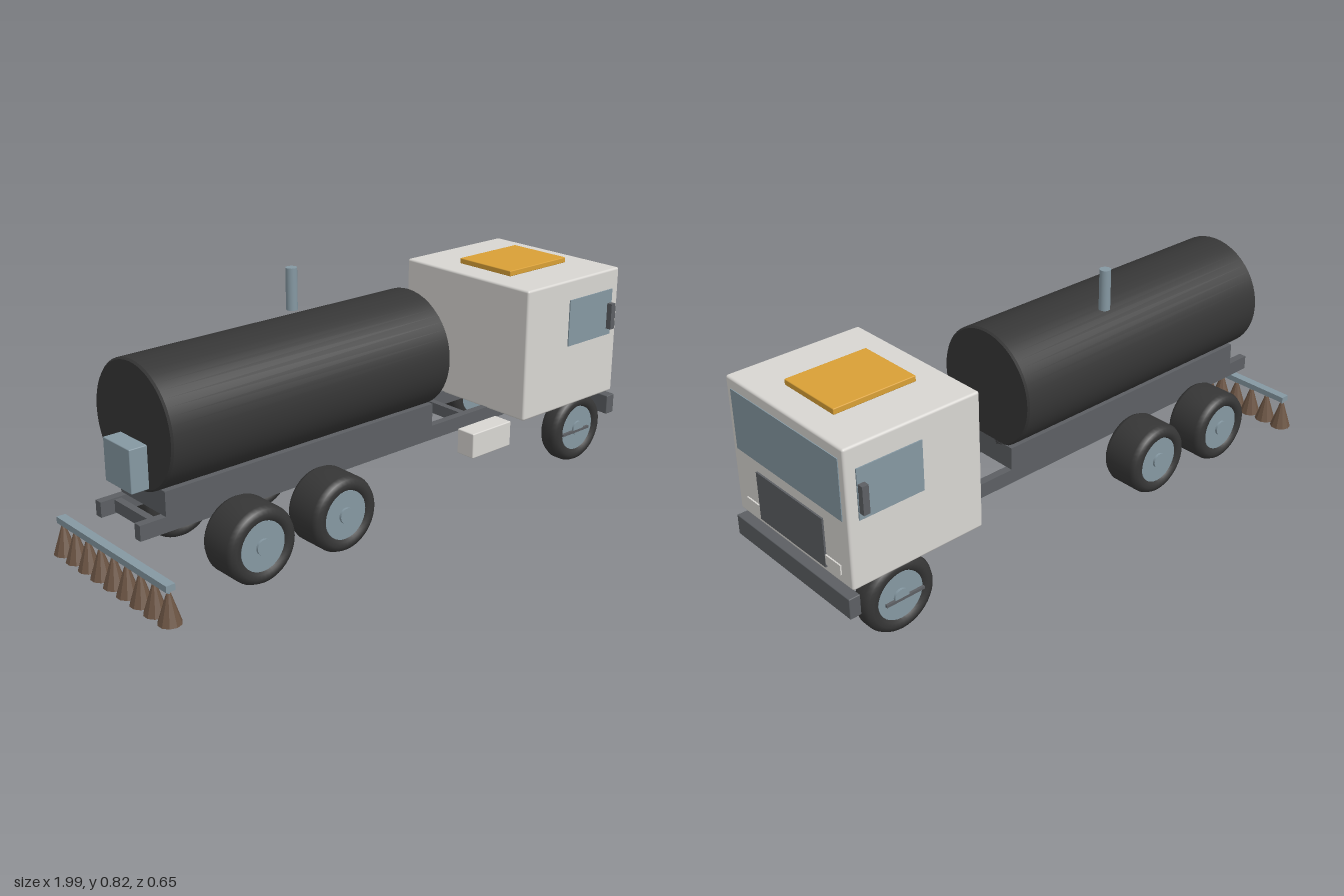
import * as THREE from 'three';
import { RoundedBoxGeometry } from 'three/addons/geometries/RoundedBoxGeometry.js';

const mat = (name, color) => {
  const m = new THREE.MeshStandardMaterial({ color });
  m.name = name;
  return m;
};

export function createModel() {
  const black = mat('black rubber and tank', 0x363636);
  const white = mat('cab white', 0xd8d6d2);
  const grey = mat('chassis grey', 0x5c5f63);
  const steel = mat('blue grey steel', 0x8598a2);
  const amber = mat('amber', 0xd9a036);
  const brown = mat('bristle brown', 0x6b5443);
  brown.flatShading = true;

  const model = new THREE.Group();
  model.name = 'sweeperTruck';

  const add = (name, geometry, material, x = 0, y = 0, z = 0, parent = model) => {
    const mesh = new THREE.Mesh(geometry, material);
    mesh.name = name;
    mesh.position.set(x, y, z);
    parent.add(mesh);
    return mesh;
  };
  // Box given by its limits on each axis
  const box = (name, material, [x0, x1], [y0, y1], [z0, z1], round = 0) => {
    const size = [x1 - x0, y1 - y0, z1 - z0];
    const g = round ? new RoundedBoxGeometry(...size, 2, round) : new THREE.BoxGeometry(...size);
    return add(name, g, material, (x0 + x1) / 2, (y0 + y1) / 2, (z0 + z1) / 2);
  };
  // The same box on both sides of the truck
  const pair = (name, material, xs, ys, [z0, z1]) => {
    box(name + 'Near', material, xs, ys, [z0, z1]);
    box(name + 'Far', material, xs, ys, [-z1, -z0]);
  };

  // Chassis
  pair('frameRail', grey, [-0.94, 0.96], [0.19, 0.24], [0.092, 0.12]);
  for (const x of [0.81, 0.41, 0, -0.4, -0.88]) {
    box('crossMember', grey, [x - 0.012, x + 0.012], [0.195, 0.235], [-0.095, 0.095]);
  }
  box('tankSaddle', grey, [-0.85, 0.23], [0.24, 0.32], [-0.12, 0.12]);
  box('toolBox', white, [0.285, 0.47], [0.147, 0.236], [0.188, 0.262], 0.004);
  box('bumper', grey, [0.957, 0.996], [0.146, 0.216], [-0.292, 0.292], 0.003);

  // Tank with slightly bevelled ends
  const R = 0.202, L = 0.55, b = 0.006;
  const tankProfile = [
    [0, -L], [R - b, -L], [R - b, -L], [R, -L + b], [R, -L + b],
    [R, L - b], [R, L - b], [R - b, L], [R - b, L], [0, L],
  ].map(([r, y]) => new THREE.Vector2(r, y));
  const tank = add('tank', new THREE.LatheGeometry(tankProfile, 48), black, -0.32, 0.496, 0);
  tank.rotation.z = Math.PI / 2;
  box('rearValveBox', steel, [-0.93, -0.865], [0.317, 0.456], [-0.07, 0.07], 0.003);
  add('exhaustStack', new THREE.CylinderGeometry(0.019, 0.019, 0.14, 20), steel, -0.178, 0.75, -0.12);

  // Cab
  box('cab', white, [0.5, 0.978], [0.235, 0.698], [-0.291, 0.291], 0.008);
  box('roofHatch', amber, [0.595, 0.885], [0.697, 0.717], [-0.121, 0.121], 0.003);
  box('windshield', steel, [0.975, 0.981], [0.46, 0.662], [-0.266, 0.266]);
  box('grille', grey, [0.975, 0.984], [0.256, 0.422], [-0.168, 0.168]);
  pair('headlight', white, [0.975, 0.983], [0.267, 0.3], [0.168, 0.24]);
  pair('sideWindow', steel, [0.715, 0.942], [0.46, 0.626], [0.288, 0.295]);
  pair('mirror', grey, [0.918, 0.94], [0.484, 0.577], [0.295, 0.315]);
  pair('step', grey, [0.725, 0.865], [0.115, 0.124], [0.27, 0.287]);

  // Wheels: wide at the rear, narrow at the front
  const wheel = (name, x, width, side) => {
    const w = width / 2;
    const group = new THREE.Group();
    group.name = name;
    const profile = [
      [0.08, w - 0.012], [0.08, -w + 0.012], [0.088, -w], [0.104, -w], [0.118, -w + 0.006],
      [0.126, -w + 0.022], [0.126, w - 0.022], [0.118, w - 0.006], [0.104, w], [0.088, w], [0.08, w - 0.012],
    ].map(([r, y]) => new THREE.Vector2(r, y));
    add('tire', new THREE.LatheGeometry(profile, 40), black, 0, 0, 0, group);
    add('rim', new THREE.CylinderGeometry(0.081, 0.081, width - 0.016, 32), steel, 0, 0, 0, group);
    add('hubCap', new THREE.CylinderGeometry(0.026, 0.026, width, 20), steel, 0, 0, 0, group);
    group.rotation.x = side * Math.PI / 2;
    group.position.set(x, 0.128, side * (0.286 - w));
    model.add(group);
  };
  for (const side of [1, -1]) {
    wheel('frontWheel', 0.808, 0.078, side);
    wheel('middleWheel', -0.297, 0.148, side);
    wheel('rearWheel', -0.62, 0.148, side);
  }

  // Rear sweeping bar with a row of brushes
  box('brushBar', steel, [-0.978, -0.947], [0.111, 0.132], [-0.3, 0.3]);
  for (let i = -4; i <= 4; i++) {
    const z = i * 0.072;
    add('brushStem', new THREE.CylinderGeometry(0.005, 0.005, 0.02, 8), steel, -0.963, 0.106, z);
    add('brush', new THREE.CylinderGeometry(0.007, 0.037, 0.094, 10), brown, -0.963, 0.054, z);
  }

  return model;
}
